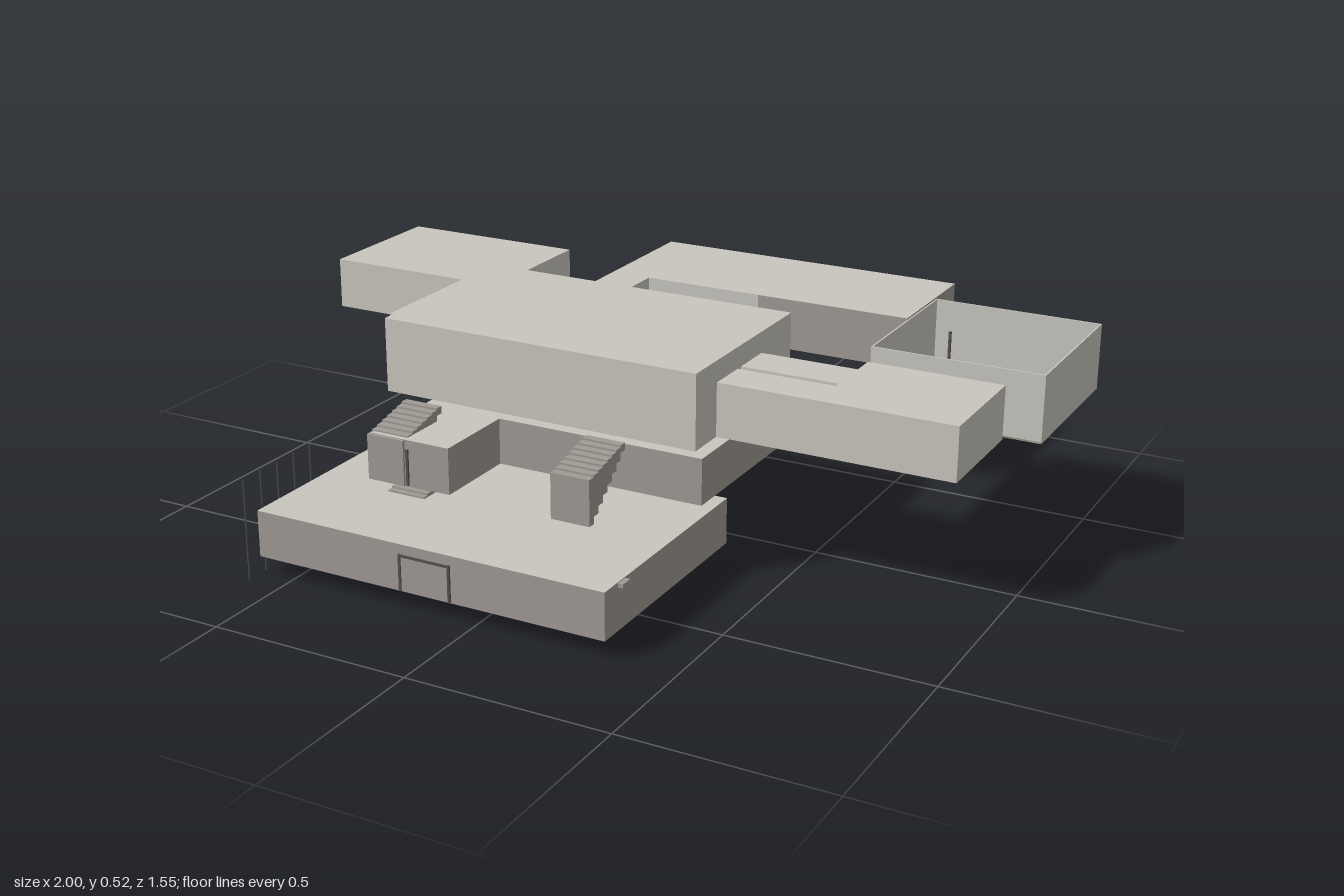
import * as THREE from 'three';

const mat = (name, color) => {
  const m = new THREE.MeshStandardMaterial({ color });
  m.name = name;
  return m;
};

export function createModel() {
  const group = new THREE.Group();
  const pale = mat('pale concrete', 0xc8c6be);
  const dark = mat('warm grey wall', 0xa09a94);
  const green = mat('garden green', 0x7d8770);
  const metal = mat('dark metal', 0x55524e);

  // Box given by its limits; the walls may differ from the roof and floor
  function block(name, [x0, x1], [y0, y1], [z0, z1], wall = pale, cap = wall) {
    const geo = new THREE.BoxGeometry(x1 - x0, y1 - y0, z1 - z0);
    const mesh = new THREE.Mesh(geo, wall === cap ? wall : [wall, wall, cap, cap, wall, wall]);
    mesh.position.set((x0 + x1) / 2, (y0 + y1) / 2, (z0 + z1) / 2);
    mesh.name = name;
    group.add(mesh);
    return mesh;
  }

  // Lower and middle storeys
  block('lowerStorey', [-0.585, 0.333], [0.045, 0.16], [0.145, 0.73], dark, pale);
  block('middleStorey', [-0.42, 0.333], [0.19, 0.305], [-0.312, 0.278], dark, pale);
  block('middlePorch', [-0.42, -0.207], [0.19, 0.305], [0.278, 0.5], dark, pale);

  // Upper storey: hall, wings and corridors
  const up = [0.335, 0.467];
  block('mainHall', [-0.502, 0.333], [0.335, 0.52], [-0.192, 0.312]);
  block('rightWing', [-1, -0.502], up, [-0.565, -0.188]);
  block('rightCorridor', [-0.608, -0.502], up, [-0.188, 0.142]);
  block('backCorridor', [-0.295, -0.187], up, [-0.437, -0.192]);
  block('backWingPale', [-0.295, 0.13], up, [-0.77, -0.437]);
  block('backWingGrey', [0.13, 0.537], up, [-0.77, -0.437], dark, pale);
  block('leftWing', [0.578, 0.913], up, [-0.088, 0.208]);
  block('leftCorridorBack', [0.333, 0.578], up, [-0.028, 0.083]);
  block('leftCorridorFront', [0.333, 0.578], up, [0.1, 0.208]);

  // Windows in the back wing
  for (const x of [0.005, -0.1, -0.2])
    block('backWindow', [x - 0.024, x + 0.024], [0.378, 0.425], [-0.773, -0.769], dark);

  // Open walled garden
  const t = 0.004, gy = [0.335, 0.5];
  block('gardenFloor', [0.578, 1], [0.335, 0.339], [-0.525, -0.103], green);
  block('gardenWallRight', [0.578, 0.578 + t], gy, [-0.525, -0.103]);
  block('gardenWallLeft', [1 - t, 1], gy, [-0.525, -0.103]);
  block('gardenWallBack', [0.578 + t, 1 - t], gy, [-0.525, -0.525 + t]);
  block('gardenWallFront', [0.578 + t, 1 - t], gy, [-0.103 - t, -0.103]);
  for (const x of [0.68, 0.867]) for (const z of [-0.44, -0.17])
    block('planter', [x - 0.024, x + 0.024], [0.339, 0.362], [z - 0.024, z + 0.024], green);
  block('gardenTable', [0.743, 0.823], [0.339, 0.368], [-0.355, -0.27], dark);
  for (const z of [-0.355, -0.27])
    block('gardenBench', [0.728, 0.838], [0.339, 0.352], [z - 0.006, z + 0.006], dark);
  block('gardenLamp', [0.657, 0.663], [0.339, 0.46], [-0.413, -0.407], metal);
  block('gardenDoorPost', [0.742, 0.748], [0.36, 0.45], [-0.113, -0.107], metal);

  // Stair flight: shallow treads above, stepped underside; profile in (z, y)
  function stair(name, x0, z0, y0, [depth, frontH, rise], steps = 8) {
    const s = new THREE.Shape();
    s.moveTo(z0, y0);
    s.lineTo(z0, y0 + frontH);
    for (let i = 1; i <= steps; i++) {
      const y = y0 + frontH + (rise * i) / steps;
      s.lineTo(z0 - (depth * (i - 1)) / steps, y);
      s.lineTo(z0 - (depth * i) / steps, y);
    }
    const top = y0 + frontH + rise, low = (top - y0) / steps;
    for (let i = steps - 1; i > 0; i--) {
      s.lineTo(z0 - (depth * (i + 1)) / steps, y0 + low * i);
      s.lineTo(z0 - (depth * i) / steps, y0 + low * i);
    }
    s.lineTo(z0 - depth / steps, y0);
    const geo = new THREE.ExtrudeGeometry(s, { depth: 0.1, bevelEnabled: false });
    geo.rotateY(-Math.PI / 2);
    const mesh = new THREE.Mesh(geo, dark);
    mesh.position.x = x0 + 0.1;
    mesh.name = name;
    group.add(mesh);
  }
  stair('upperStairRight', -0.427, 0.508, 0.191, [0.165, 0.108, 0.038]);
  stair('upperStairLeft', 0.07, 0.508, 0.191, [0.165, 0.108, 0.038]);
  stair('middleStair', -0.385, 0.49, 0.06, [0.115, 0.1, 0.035]);
  stair('groundStair', -0.385, 0.585, 0.005, [0.045, 0.03, 0.015], 3);

  // Door frames on the lower storey and the porch
  function door(name, x, y, w, h, z) {
    for (const s of [-1, 1])
      block(name + 'Jamb', [x + s * w / 2 - 0.003, x + s * w / 2 + 0.003], [y, y + h], [z, z + 0.005], metal);
    block(name + 'Head', [x - w / 2, x + w / 2], [y + h - 0.006, y + h], [z, z + 0.005], metal);
    block(name + 'Leaf', [x - w / 2, x + w / 2], [y, y + h], [z, z + 0.002], dark);
  }
  door('lowerDoor', -0.125, 0.047, 0.13, 0.09, 0.73);
  door('porchDoor', -0.35, 0.192, 0.06, 0.09, 0.5);
  block('sideLamp', [0.333, 0.346], [0.148, 0.158], [0.64, 0.672], dark);

  // Row of thin poles along the right side
  for (let i = 0; i < 5; i++) {
    const pole = new THREE.Mesh(new THREE.CylinderGeometry(0.002, 0.002, 0.25, 6), metal);
    pole.position.set(-0.588, 0.125, 0.77 - i * 0.0625);
    pole.name = 'pole';
    group.add(pole);
  }
  return group;
}
